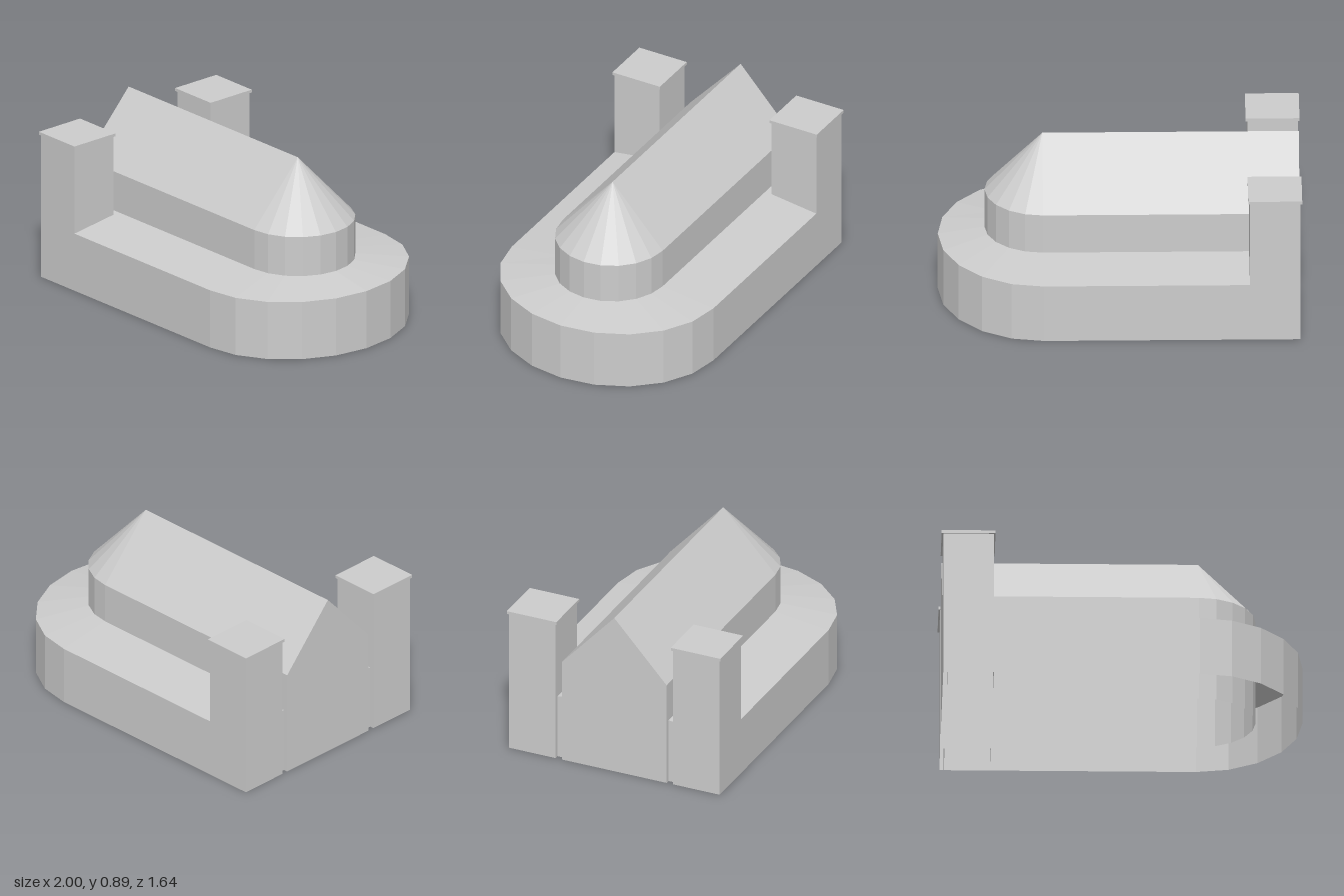
import * as THREE from 'three';

const stone = new THREE.MeshStandardMaterial({ color: 0xcccccc, flatShading: true, side: THREE.DoubleSide });
stone.name = 'pale grey stone';

const BACK = -1.318;        // rear gable wall
const AISLE_BACK = -1.295;  // rear end of the aisles
const NAVE = 0.297;         // nave half width and apse radius
const AISLE = 0.598;        // aisle half width
const AISLE_TIP = 0.537;    // reach of the ambulatory beyond the apse centre
const SIDES = 10;

// U-shaped line: straight side, rounded end, straight side
function outline(start, rx, rz, y) {
  const pts = [[start, y, -rz]];
  for (let i = 0; i <= SIDES; i++) {
    const a = (Math.PI * i) / SIDES;
    pts.push([rx * Math.sin(a), y, -rz * Math.cos(a)]);
  }
  pts.push([start, y, rz]);
  return pts;
}

// Surface between two matching lines
function strip(lower, upper) {
  const v = [];
  const same = (p, q) => p.every((n, k) => Math.abs(n - q[k]) < 1e-6);
  for (let i = 0; i < lower.length - 1; i++) {
    const a = lower[i], b = lower[i + 1], c = upper[i + 1], d = upper[i];
    if (!same(c, d)) v.push(...a, ...d, ...c);
    v.push(...a, ...c, ...b);
  }
  const g = new THREE.BufferGeometry();
  g.setAttribute('position', new THREE.Float32BufferAttribute(v, 3));
  g.computeVertexNormals();
  return g;
}

// Flat wall facing the rear, from [z, y] corners
function rearWall(corners, x) {
  const shape = new THREE.Shape(corners.map(([z, y]) => new THREE.Vector2(z, y)));
  return new THREE.ShapeGeometry(shape).rotateY(-Math.PI / 2).translate(x, 0, 0);
}

// Box without a floor
function openBox(w, h, d) {
  const g = new THREE.BoxGeometry(w, h, d).translate(0, h / 2, 0);
  const idx = Array.from(g.index.array);
  idx.splice(18, 6);
  g.setIndex(idx);
  g.clearGroups();
  return g;
}

export function createModel() {
  const model = new THREE.Group();
  model.name = 'chapel';
  const building = new THREE.Group();
  building.name = 'building';
  building.position.set(0.455, 0, 0.225);
  building.rotation.y = -0.377;
  model.add(building);

  const add = (name, geometry, parent = building) => {
    const mesh = new THREE.Mesh(geometry, stone);
    mesh.name = name;
    parent.add(mesh);
    return mesh;
  };

  // Nave with rounded apse
  const eaves = outline(BACK, NAVE, NAVE, 0.57);
  add('naveWalls', strip(outline(BACK, NAVE, NAVE, 0), eaves));
  add('naveRoof', strip(eaves, outline(BACK, 0, 0, 0.895)));
  add('rearGable', rearWall([[-NAVE, 0], [NAVE, 0], [NAVE, 0.57], [0, 0.895], [-NAVE, 0.57]], BACK));

  // Low aisle wrapping around the nave
  const aisleEaves = outline(AISLE_BACK, AISLE_TIP, AISLE, 0.315);
  add('aisleWalls', strip(outline(AISLE_BACK, AISLE_TIP, AISLE, 0), aisleEaves));
  add('aisleRoof', strip(aisleEaves, outline(AISLE_BACK, NAVE, NAVE, 0.355)));

  // Rear towers and aisle ends on both sides
  for (const s of [-1, 1]) {
    const end = [[s * NAVE, 0], [s * AISLE, 0], [s * AISLE, 0.315], [s * NAVE, 0.355]];
    add('aisleRearWall', rearWall(end, AISLE_BACK));

    const tower = new THREE.Group();
    tower.name = s > 0 ? 'frontTower' : 'backTower';
    tower.position.set(-1.188, 0, s * 0.465);
    building.add(tower);
    add('towerBody', openBox(0.26, 0.784, 0.266), tower);
    add('towerCap', new THREE.BoxGeometry(0.277, 0.016, 0.281), tower).position.y = 0.792;
  }
  return model;
}
